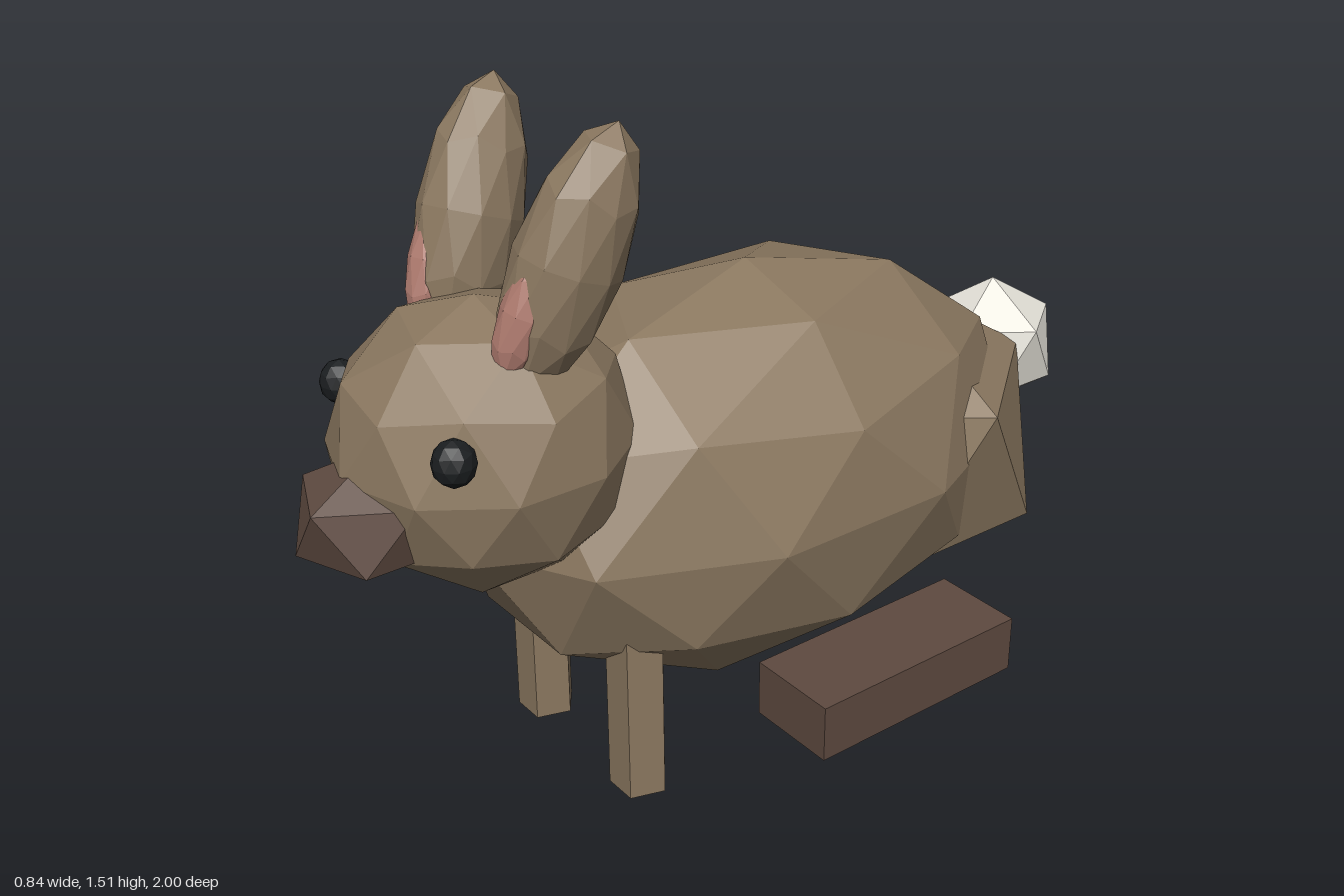
import * as THREE from 'three';

const flat = (name, color) => {
  const m = new THREE.MeshStandardMaterial({ color, flatShading: true });
  m.name = name;
  return m;
};

// Icosphere with a vertex at each pole and an upper-ring vertex on +x
function icosphere(detail) {
  const g = new THREE.IcosahedronGeometry(1, detail);
  g.rotateX(-Math.atan((1 + Math.sqrt(5)) / 2));
  g.rotateY(Math.PI / 2);
  return g;
}

export function createModel() {
  const model = new THREE.Group();
  model.name = 'rabbit';

  const fur = flat('brown fur', 0x8b7860);
  const dark = flat('dark brown', 0x5e4a40);
  const pink = flat('ear pink', 0xb07c70);
  const white = flat('tail white', 0xe8e5dc);
  const black = flat('eye black', 0x1b1e20);

  const coarse = icosphere(0);
  const fine = icosphere(1);

  const add = (name, geometry, material, position, scale = [1, 1, 1], rotation = [0, 0, 0]) => {
    const mesh = new THREE.Mesh(geometry, material);
    mesh.name = name;
    mesh.position.set(...position);
    mesh.scale.set(...scale);
    mesh.rotation.set(...rotation);
    model.add(mesh);
  };

  // Trunk, rump and tail
  add('body', fine, fur, [0, 0.6, -0.07], [0.442, 0.47, 0.72]);
  add('rump', coarse, fur, [0, 0.535, -0.48], [0.43, 0.39, 0.4]);
  add('tail', coarse, white, [0, 0.66, -0.85], [0.172, 0.17, 0.176]);

  // Head and muzzle
  add('head', fine, fur, [0, 0.848, 0.6], [0.31, 0.308, 0.315]);
  add('muzzle', coarse, dark, [0, 0.76, 0.83], [0.165, 0.14, 0.2]);

  // Paired parts
  const leg = new THREE.CylinderGeometry(0.067, 0.067, 0.45, 5);
  leg.rotateY(Math.PI);
  const foot = new THREE.BoxGeometry(0.23, 0.14, 0.59);
  for (const [side, s] of [['left', 1], ['right', -1]]) {
    const tilt = [-0.35, 0, -0.14 * s];
    add(side + 'Ear', fine, fur, [0.176 * s, 1.25, 0.495], [0.1, 0.284, 0.113], tilt);
    add(side + 'InnerEar', fine, pink, [0.172 * s, 1.17, 0.587], [0.05, 0.15, 0.053], tilt);
    add(side + 'Eye', fine, black, [0.222 * s, 0.942, 0.788], [0.044, 0.048, 0.044]);
    add(side + 'FrontLeg', leg, fur, [0.186 * s, 0.225, 0.366]);
    add(side + 'HindFoot', foot, dark, [0.268 * s, 0.07, -0.292]);
  }
  return model;
}
